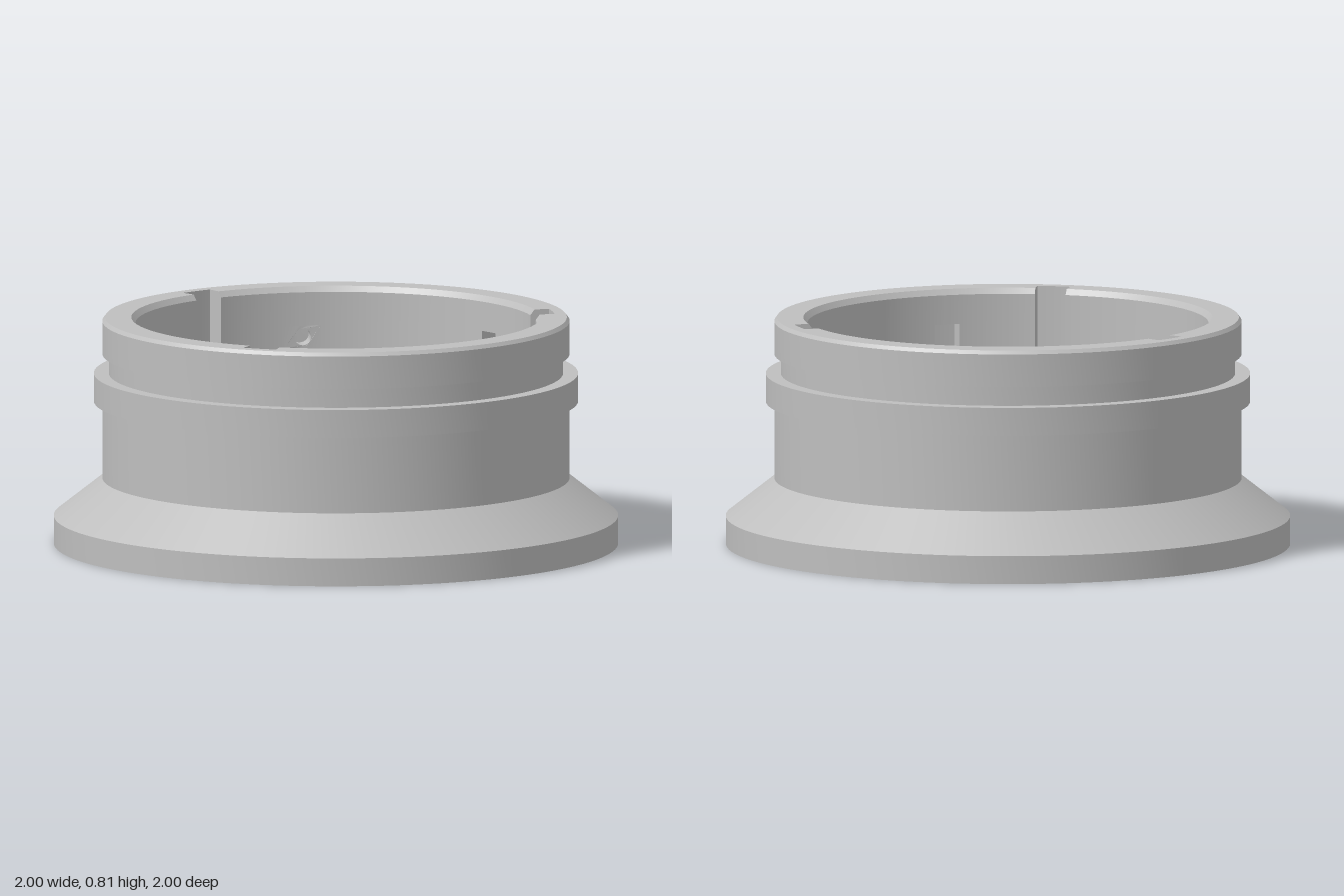
import * as THREE from 'three';
import { toCreasedNormals } from 'three/addons/utils/BufferGeometryUtils.js';

const BORE = 0.71, POCKET = 0.778, STEP = 0.75, COLS = 480;
const TOP = 0.81, FLOOR = 0.16, RIM = 0.818;
const HOLE = { angle: -90, y: 0.63, r: 0.03, half: 5.25, y0: 0.59, y1: 0.67 };

// point from angle (degrees), height and radius
function polar(deg, y, r) {
  const a = THREE.MathUtils.degToRad(deg);
  return new THREE.Vector3(Math.cos(a) * r, y, Math.sin(a) * r);
}

// collects quads, turning each one to face along the hint
function faceCollector() {
  const pos = [];
  const tri = (a, b, c) => pos.push(...a.toArray(), ...b.toArray(), ...c.toArray());
  return {
    tri,
    quad(a, b, c, d, hint) {
      const n = c.clone().sub(a).cross(d.clone().sub(b));
      if (n.dot(hint) < 0) [b, d] = [d, b];
      tri(a, b, c);
      tri(a, c, d);
    },
    geometry() {
      const g = new THREE.BufferGeometry();
      g.setAttribute('position', new THREE.Float32BufferAttribute(pos, 3));
      return toCreasedNormals(g, 0.4);
    },
  };
}

// bayonet track: entry slot, sideways channel and locking notch, repeated three times
function inTrack(deg, y) {
  const t = (((deg + 60) % 120) + 120) % 120 - 60;
  if (y > 0.45 && Math.abs(t) < 4.5) return true;
  if (y > 0.45 && y < 0.54 && t > -33.75 && t < 0) return true;
  return y > 0.45 && y < 0.685 && t > -33.75 && t < -26.25;
}

function boreGeometry() {
  const f = faceCollector();
  const up = new THREE.Vector3(0, 1, 0), down = new THREE.Vector3(0, -1, 0);
  const rows = [FLOOR, 0.45, 0.54, HOLE.y0, HOLE.y1, 0.685, 0.79, TOP];
  const wallR = y => (y === TOP ? 0.725 : BORE);

  for (let i = 0; i < COLS; i++) {
    const a0 = -180 + i * STEP, a1 = a0 + STEP, mid = a0 + STEP / 2;
    const inward = polar(mid, 0, -1);
    const along = polar(mid + 90, 0, 1);
    for (let j = 0; j < rows.length - 1; j++) {
      const y0 = rows[j], y1 = rows[j + 1], ym = (y0 + y1) / 2;
      const cut = inTrack(mid, ym);
      const patch = Math.abs(mid - HOLE.angle) < HOLE.half && ym > HOLE.y0 && ym < HOLE.y1;
      const r0 = cut ? POCKET : wallR(y0), r1 = cut ? POCKET : wallR(y1);
      // wall or back of the track
      if (!patch) f.quad(polar(a0, y0, r0), polar(a1, y0, r0), polar(a1, y1, r1), polar(a0, y1, r1), inward);
      // side of the track
      const next = inTrack(mid + STEP, ym);
      if (cut !== next) {
        f.quad(polar(a1, y0, wallR(y0)), polar(a1, y0, POCKET), polar(a1, y1, POCKET), polar(a1, y1, wallR(y1)),
          cut ? along.clone().negate() : along);
      }
      // floor and ceiling of the track
      if (j + 2 < rows.length) {
        const above = inTrack(mid, (y1 + rows[j + 2]) / 2);
        if (above !== cut) {
          f.quad(polar(a0, y1, BORE), polar(a1, y1, BORE), polar(a1, y1, POCKET), polar(a0, y1, POCKET), above ? up : down);
        }
      }
    }
    // top face of the rim
    const r = inTrack(mid, 0.8) ? POCKET : 0.725;
    f.quad(polar(a0, TOP, r), polar(a1, TOP, r), polar(a1, TOP, RIM), polar(a0, TOP, RIM), up);
  }
  return f.geometry();
}

// curved patch of the bore with a small blind hole
function pinHoleGeometry() {
  const f = faceCollector();
  const arc = THREE.MathUtils.degToRad(1) * BORE;
  const shape = new THREE.Shape();
  const edge = [];
  for (let d = -HOLE.half; d <= HOLE.half + 0.01; d += STEP) edge.push(d);
  shape.setFromPoints([
    ...edge.map(d => new THREE.Vector2(d * arc, HOLE.y0)),
    ...[...edge].reverse().map(d => new THREE.Vector2(d * arc, HOLE.y1)),
  ]);
  const ring = [];
  for (let i = 0; i < 24; i++) {
    const a = (i / 24) * Math.PI * 2;
    ring.push(new THREE.Vector2(Math.cos(a) * HOLE.r, HOLE.y + Math.sin(a) * HOLE.r));
  }
  shape.holes.push(new THREE.Path(ring));
  const bend = (p, r) => polar(HOLE.angle + p.x / arc, p.y, r);

  const flat = new THREE.ShapeGeometry(shape).toNonIndexed().attributes.position;
  const at = i => bend(new THREE.Vector3().fromBufferAttribute(flat, i), BORE);
  for (let i = 0; i < flat.count; i += 3) f.tri(at(i), at(i + 1), at(i + 2));

  const centre = new THREE.Vector2(0, HOLE.y);
  ring.forEach((p, i) => {
    const q = ring[(i + 1) % ring.length];
    const hint = bend(centre, BORE).sub(bend(p, BORE));
    f.quad(bend(p, BORE), bend(q, BORE), bend(q, POCKET), bend(p, POCKET), hint);
    f.tri(bend(centre, POCKET), bend(p, POCKET), bend(q, POCKET));
  });
  return f.geometry();
}

// floor, centre opening, hollow underside, flared foot, collar and groove
function shellGeometry() {
  const profile = [
    [BORE, FLOOR], [0.562, FLOOR], [0.562, 0.135], [0.828, 0.135],
    [1, 0], [1, 0.1], [0.828, 0.235], [0.828, 0.51],
    [0.858, 0.51], [0.858, 0.61], [0.805, 0.61], [0.805, 0.68],
    [0.828, 0.68], [0.828, 0.797], [RIM, TOP],
  ].map(([x, y]) => new THREE.Vector2(x, y));
  return toCreasedNormals(new THREE.LatheGeometry(profile, 120), 0.4);
}

export function createModel() {
  const grey = new THREE.MeshStandardMaterial({ color: 0xbebebe });
  grey.name = 'light grey';
  const model = new THREE.Group();
  model.name = 'bayonetCollar';
  const add = (name, geometry) => {
    const mesh = new THREE.Mesh(geometry, grey);
    mesh.name = name;
    model.add(mesh);
  };
  add('outerShell', shellGeometry());
  add('boreWithBayonetTracks', boreGeometry());
  add('pinHole', pinHoleGeometry());
  return model;
}
